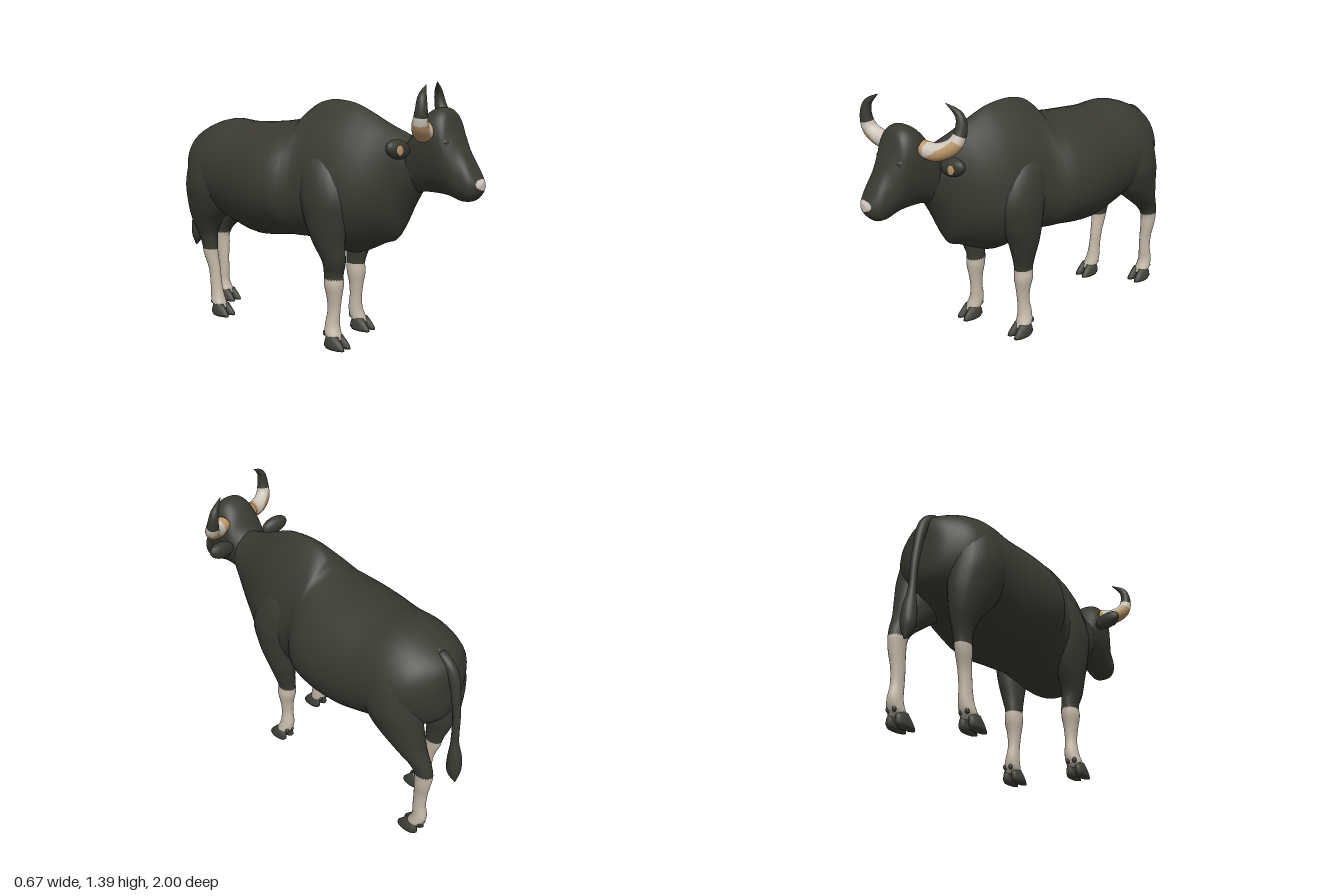
import * as THREE from 'three';

const paint = (name, color) => Object.assign(new THREE.MeshStandardMaterial({ color }), { name });
const V = (x, y, z) => new THREE.Vector3(x, y, z);
const TAU = Math.PI * 2;

// Smoothly interpolates rows of section numbers, n steps per gap
function smoothRows(rows, n) {
  const out = [], last = rows.length - 1;
  for (let i = 0; i < last; i++) {
    const [a, b, c, d] = [rows[Math.max(i - 1, 0)], rows[i], rows[i + 1], rows[Math.min(i + 2, last)]];
    for (let s = 0; s < n; s++) {
      const t = s / n;
      out.push(b.map((v, k) => 0.5 * (2 * v + (c[k] - a[k]) * t + (2 * a[k] - 5 * v + 4 * c[k] - d[k]) * t * t
        + (3 * v - a[k] - 3 * c[k] + d[k]) * t ** 3)));
    }
  }
  out.push(rows[last]);
  return out;
}

// Skins closed rings of points; pick(point, ringFraction) gives the material index of a face
function skin(name, rings, materials, pick = () => 0) {
  const n = rings[0].length, pts = rings.flat(), lists = materials.map(() => []);
  const face = (a, b, c, r) => {
    const mid = pts[a].clone().add(pts[b]).add(pts[c]).divideScalar(3);
    lists[pick(mid, r / (rings.length - 1))].push(a, b, c);
  };
  for (let r = 0; r < rings.length - 1; r++) for (let j = 0; j < n; j++) {
    const k = (j + 1) % n, a = r * n + j, b = r * n + k, c = a + n, d = b + n;
    face(a, b, d, r);
    face(a, d, c, r);
  }
  for (const r of [0, rings.length - 1]) {
    const centre = pts.length;
    pts.push(rings[r].reduce((s, p) => s.add(p), V(0, 0, 0)).divideScalar(n));
    for (let j = 0; j < n; j++) {
      const a = r * n + j, b = r * n + (j + 1) % n;
      r ? face(a, b, centre, r) : face(b, a, centre, r);
    }
  }
  // Turn the faces outward when the rings run the other way
  let volume = 0;
  for (const l of lists) for (let i = 0; i < l.length; i += 3)
    volume += pts[l[i]].dot(pts[l[i + 1]].clone().cross(pts[l[i + 2]]));
  if (volume < 0) for (const l of lists) l.reverse();
  const g = new THREE.BufferGeometry().setFromPoints(pts);
  g.setIndex(lists.flat());
  let start = 0;
  lists.forEach((l, i) => { g.addGroup(start, l.length, i); start += l.length; });
  g.computeVertexNormals();
  const m = new THREE.Mesh(g, materials.length > 1 ? materials : materials[0]);
  m.name = name;
  return m;
}

// Upright ring across z: [z, top, bottom, half width, widest y, upper power, lower power]
const crossRing = ([z, top, bottom, w, yc, pu, pl], n = 40) => Array.from({ length: n }, (_, j) => {
  const a = j / n * TAU, c = Math.cos(a), s = Math.sin(a);
  return V(w * Math.sign(c) * Math.abs(c) ** (s > 0 ? pu : pl), yc + s * (s > 0 ? top - yc : yc - bottom), z);
});
// Level ring: [y, x, z, x radius, z radius]
const levelRing = ([y, x, z, rx, rz], n = 24) => Array.from({ length: n }, (_, j) =>
  V(x + rx * Math.cos(j / n * TAU), y, z + rz * Math.sin(j / n * TAU)));

// Rings along a path of [x, y, z, radius]
function pathRings(rows, n = 28) {
  const s = smoothRows(rows, 10), p = s.map(r => V(r[0], r[1], r[2]));
  return s.map((r, i) => {
    const t = p[Math.min(i + 1, p.length - 1)].clone().sub(p[Math.max(i - 1, 0)]).normalize();
    const u = V(0, 0, 1).addScaledVector(t, -t.z);
    if (u.length() < 0.3) u.set(1, 0, 0).addScaledVector(t, -t.x);
    u.normalize();
    const v = t.clone().cross(u), rad = Math.max(r[3], 0.002);
    return Array.from({ length: n }, (_, j) => p[i].clone()
      .addScaledVector(u, rad * Math.cos(j / n * TAU)).addScaledVector(v, rad * Math.sin(j / n * TAU)));
  });
}

export function createModel() {
  const coat = paint('dark coat', 0x3a3a33), hoofMat = paint('hoof', 0x42423b), stocking = paint('pale stocking', 0xc4b9a8);
  const cream = paint('cream horn', 0xcdc6bb), tan = paint('tan horn', 0xbd966a);
  const bull = new THREE.Group();
  bull.name = 'bull';
  const ball = (name, mat, pos, scale, rot = [0, 0, 0]) => {
    const m = new THREE.Mesh(new THREE.SphereGeometry(1, 20, 14), mat);
    m.name = name;
    m.position.set(...pos);
    m.scale.set(...scale);
    m.rotation.set(...rot);
    bull.add(m);
  };

  // Trunk with shoulder hump, neck and dewlap
  const trunk = [
    [-0.89, 1.0, 0.82, 0.05, 0.92, 1, 1], [-0.87, 1.05, 0.72, 0.125, 0.9, 1, 1],
    [-0.8, 1.1, 0.66, 0.22, 0.9, 1, 1], [-0.7, 1.145, 0.62, 0.27, 0.88, 1, 1],
    [-0.6, 1.165, 0.59, 0.285, 0.87, 1, 1], [-0.48, 1.155, 0.55, 0.3, 0.85, 1, 1],
    [-0.35, 1.16, 0.52, 0.322, 0.84, 1, 1], [-0.22, 1.17, 0.53, 0.335, 0.83, 1.05, 1],
    [-0.12, 1.185, 0.545, 0.325, 0.83, 1.1, 1], [-0.065, 1.205, 0.545, 0.305, 0.83, 1.2, 1],
    [-0.035, 1.245, 0.545, 0.285, 0.83, 1.35, 1], [0.02, 1.28, 0.545, 0.26, 0.83, 1.45, 1],
    [0.12, 1.3, 0.52, 0.25, 0.83, 1.5, 1.1], [0.25, 1.285, 0.49, 0.24, 0.82, 1.5, 1.3],
    [0.35, 1.245, 0.52, 0.215, 0.82, 1.4, 1.5], [0.45, 1.195, 0.57, 0.17, 0.85, 1.2, 1.5],
    [0.53, 1.16, 0.61, 0.138, 0.9, 1, 1.4], [0.6, 1.135, 0.76, 0.12, 0.98, 1, 1.1],
    [0.66, 1.13, 0.87, 0.1, 1.0, 1, 1]];
  bull.add(skin('trunk', smoothRows(trunk, 4).map(r => crossRing(r)), [coat]));

  // Head with a pale patch over the muzzle
  const head = [
    [0.58, 1.1, 0.93, 0.06, 1.03, 1, 1], [0.63, 1.15, 0.86, 0.11, 1.05, 1, 1],
    [0.69, 1.24, 0.865, 0.122, 1.1, 0.9, 1.1], [0.76, 1.283, 0.865, 0.125, 1.12, 0.8, 1.1],
    [0.82, 1.265, 0.86, 0.118, 1.1, 0.8, 1], [0.86, 1.18, 0.85, 0.102, 1.03, 0.8, 0.9],
    [0.9, 1.1, 0.84, 0.086, 0.96, 0.8, 0.8], [0.95, 1.015, 0.845, 0.077, 0.925, 0.8, 0.7],
    [0.98, 0.965, 0.87, 0.055, 0.92, 0.85, 0.8], [1, 0.938, 0.9, 0.024, 0.92, 1, 1]];
  bull.add(skin('head', smoothRows(head, 10).map(r => crossRing(r, 64)), [coat, cream],
    p => (p.z > 0.955 && (p.x / 0.048) ** 2 + ((p.y - 0.929) / 0.026) ** 2 < 1 ? 1 : 0)));

  // Tail with tuft
  bull.add(skin('tail', pathRings([
    [0, 1.085, -0.74, 0.02], [0, 1.065, -0.83, 0.028], [0, 0.99, -0.9, 0.028], [0, 0.8, -0.94, 0.021],
    [0, 0.62, -0.95, 0.021], [0, 0.52, -0.96, 0.036], [0, 0.43, -0.965, 0.036], [0, 0.36, -0.98, 0.004]]), [coat]));

  // Legs: [y, x, z, x radius, z radius, share of the right side's stride]
  const foreLeg = [
    [1.1, 0.09, 0.1, 0.04, 0.05, 0], [0.98, 0.15, 0.14, 0.09, 0.13, 0], [0.82, 0.18, 0.185, 0.1, 0.15, 0],
    [0.68, 0.185, 0.18, 0.085, 0.125, 0.2], [0.57, 0.178, 0.16, 0.07, 0.095, 0.6], [0.47, 0.165, 0.15, 0.055, 0.068, 1],
    [0.4, 0.155, 0.143, 0.045, 0.056, 1], [0.34, 0.156, 0.145, 0.048, 0.055, 1], [0.27, 0.155, 0.147, 0.037, 0.042, 1],
    [0.2, 0.155, 0.145, 0.031, 0.036, 1], [0.13, 0.16, 0.14, 0.037, 0.041, 1], [0.08, 0.168, 0.15, 0.044, 0.045, 1],
    [0.05, 0.172, 0.165, 0.04, 0.04, 1]];
  const hindLeg = [
    [1.1, 0.09, -0.64, 0.04, 0.05, 0], [0.98, 0.14, -0.65, 0.115, 0.14, 0], [0.82, 0.165, -0.66, 0.125, 0.168, 0],
    [0.68, 0.155, -0.705, 0.105, 0.155, 0.1], [0.57, 0.145, -0.785, 0.075, 0.1, 0.3], [0.49, 0.135, -0.852, 0.05, 0.068, 0.6],
    [0.43, 0.13, -0.88, 0.041, 0.054, 0.78], [0.36, 0.13, -0.878, 0.037, 0.047, 0.82], [0.28, 0.125, -0.87, 0.031, 0.039, 0.88],
    [0.2, 0.125, -0.868, 0.03, 0.037, 0.92], [0.13, 0.125, -0.875, 0.035, 0.042, 1], [0.08, 0.127, -0.86, 0.042, 0.045, 1],
    [0.05, 0.128, -0.84, 0.04, 0.04, 1]];
  const addLeg = (name, rows, side, stride, paleTop) => {
    const placed = rows.map(([y, x, z, rx, rz, k]) => [y, x * side, z + k * stride, rx, rz]);
    bull.add(skin(name, smoothRows(placed, 6).map(r => levelRing(r)), [coat, stocking], p => (p.y < paleTop ? 1 : 0)));
    // Cloven hoof and dewclaws
    const [, fx, fz] = placed[placed.length - 1];
    for (const s of [-1, 1]) {
      const claw = [[0.005, 0.027, 0.024, 0.06], [0.02, 0.027, 0.025, 0.064], [0.045, 0.025, 0.025, 0.052], [0.072, 0.022, 0.022, 0.036]]
        .map(([y, dx, rx, rz], i) => levelRing([y, fx + s * dx, fz + 0.022 - i * 0.008, rx, rz], 16));
      bull.add(skin(name + 'Hoof', claw, [hoofMat]));
      ball(name + 'Dewclaw', hoofMat, [fx + s * 0.018, 0.08, fz - 0.052], [0.011, 0.016, 0.013]);
    }
  };

  for (const side of [1, -1]) {
    const isLeft = side > 0, name = isLeft ? 'left' : 'right';
    addLeg(name + 'ForeLeg', foreLeg, side, isLeft ? 0 : 0.085, isLeft ? 0.39 : 0.375);
    addLeg(name + 'HindLeg', hindLeg, side, isLeft ? 0 : 0.2, isLeft ? 0.435 : 0.4);

    // Horns: the left one sweeps back, the right one forward; tan below and outside, dark tips
    const zs = isLeft ? [0.72, 0.69, 0.64, 0.605, 0.6, 0.63] : [0.74, 0.765, 0.79, 0.805, 0.8, 0.78];
    const horn = [[0.1, 1.18, 0.042], [0.17, 1.17, 0.044], [0.235, 1.205, 0.04], [0.252, 1.275, 0.031], [0.237, 1.345, 0.021], [0.175, 1.395, 0.002]];
    bull.add(skin(name + 'Horn', pathRings(horn.map(([x, y, r], i) => [x * side, y, zs[i], r])), [cream, tan, coat], (p, t) => {
      if (t > 0.52) return 2;
      const x = Math.abs(p.x), outer = x - 0.17 - (p.y - 1.168) * 1.1;
      return x < 0.137 || (outer > 0.012 && t < 0.46) || p.y < 1.148 ? 1 : 0;
    }));

    // Ears and brows
    const earZ = isLeft ? 0.62 : 0.645;
    ball(name + 'Ear', coat, [side * 0.198, 1.088, earZ], [0.083, 0.048, 0.038], [0, side * 0.1, side * 0.2]);
    ball(name + 'InnerEar', tan, [side * 0.228, 1.086, earZ + 0.033], [0.021, 0.026, 0.005], [0, side * 0.2, side * -0.3]);
    ball(name + 'Brow', coat, [side * 0.086, 1.125, 0.822], [0.024, 0.022, 0.035]);
  }
  return bull;
}
